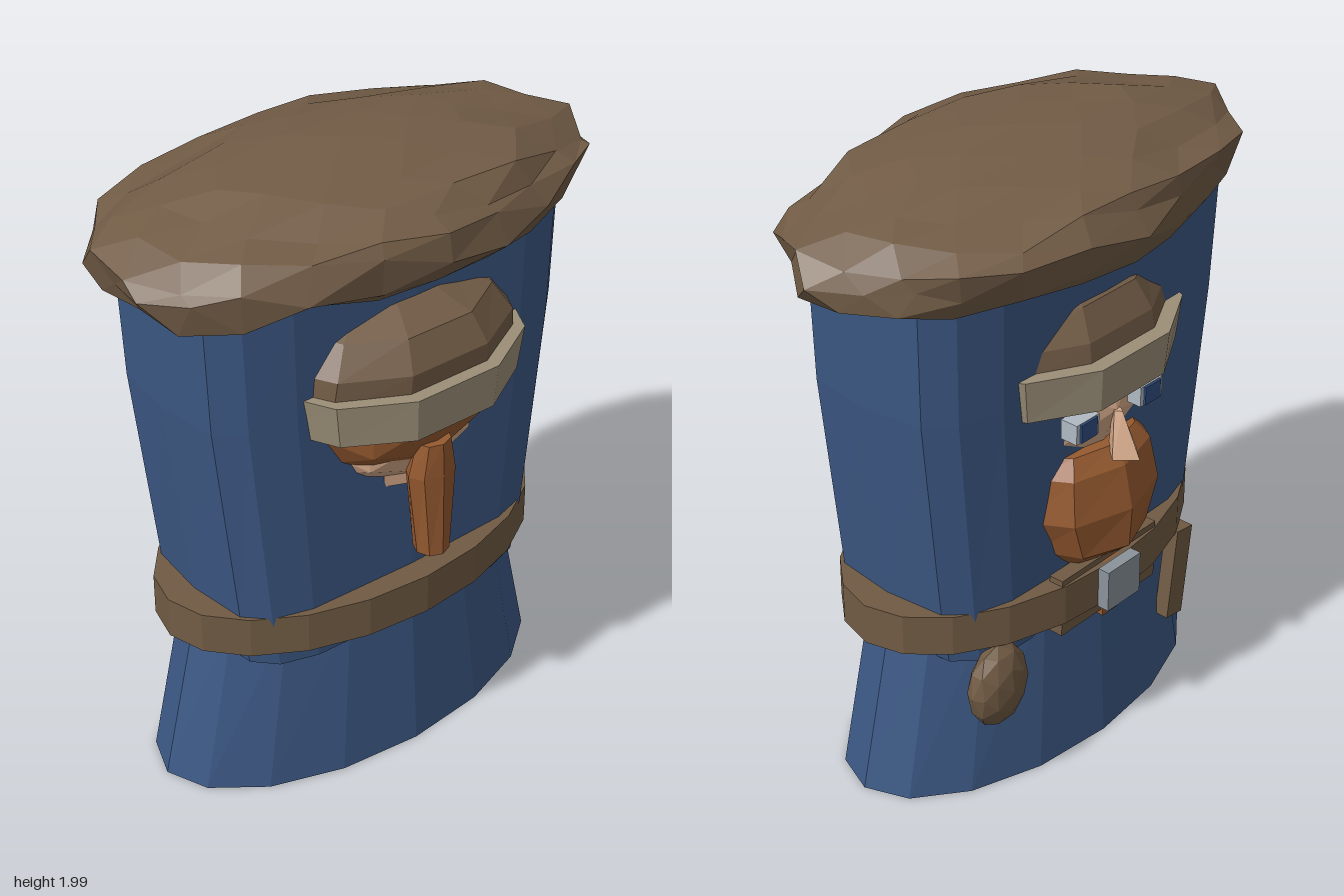
import * as THREE from 'three';

const mat = (name, color) => {
  const m = new THREE.MeshStandardMaterial({ color, flatShading: true });
  m.name = name;
  return m;
};

// Stacks rings of [y, rx, rz, zCentre], low to high; e < 1 squares the ellipse off,
// turn shifts the corners by a part of one side.
function loft(rows, n, e = 1, capped = true, turn = 0) {
  const bend = (v) => Math.sign(v) * Math.pow(Math.abs(v) < 1e-6 ? 0 : Math.abs(v), e);
  const point = ([y, rx, rz, zc], i) => {
    const a = ((i % n) + turn) / n * Math.PI * 2;
    return [rx * bend(Math.cos(a)), y, zc + rz * bend(Math.sin(a))];
  };
  const pos = [];
  const tri = (...ps) => ps.forEach((p) => pos.push(...p));
  for (let i = 0; i < n; i++) {
    for (let r = 0; r < rows.length - 1; r++) {
      const a = point(rows[r], i), b = point(rows[r], i + 1);
      const c = point(rows[r + 1], i), d = point(rows[r + 1], i + 1);
      tri(a, c, b);
      tri(b, c, d);
    }
    if (capped) {
      const lo = rows[0], hi = rows[rows.length - 1];
      tri([0, lo[0], lo[3]], point(lo, i), point(lo, i + 1));
      tri([0, hi[0], hi[3]], point(hi, i + 1), point(hi, i));
    }
  }
  const g = new THREE.BufferGeometry();
  g.setAttribute('position', new THREE.Float32BufferAttribute(pos, 3));
  g.computeVertexNormals();
  return g;
}

// Repeatable noise in -1..1 from a position, so shared corners stay joined.
function noise(x, y, z, seed) {
  const r = (v) => Math.round(v * 100);
  const s = Math.sin(r(x) * 12.9898 + r(y) * 78.233 + r(z) * 37.719 + seed * 4.17) * 43758.5453;
  return (s - Math.floor(s)) * 2 - 1;
}

// Shaggy flattened mantle, flatter and fuller underneath.
function furGeometry() {
  const g = new THREE.IcosahedronGeometry(1, 3);
  const p = g.attributes.position;
  for (let i = 0; i < p.count; i++) {
    const x = p.getX(i), y = p.getY(i), z = p.getZ(i);
    const out = 1 + 0.055 * noise(x, y, z, 1);
    const h = y > 0 ? 0.18 * y : -0.15 * Math.pow(-y, 0.45);
    p.setXYZ(i, 0.82 * x * out, 1.81 + h + 0.028 * noise(x, y, z, 2) * (1 - 0.75 * Math.abs(y)),
      -0.015 + 0.465 * z * out);
  }
  g.computeVertexNormals();
  return g;
}

export function createModel() {
  const root = new THREE.Group();
  root.name = 'figure';
  const cloth = mat('blueCloth', 0x3c5884);
  cloth.side = THREE.DoubleSide;
  const fur = mat('brownFur', 0x725c46);
  const leather = mat('brownLeather', 0x715b44);
  const trim = mat('paleFur', 0x9c8f78);
  const hair = mat('gingerHair', 0x965a30);
  const skin = mat('skin', 0xd6aa8a);
  const steel = mat('steel', 0x8b939b);
  const eyeWhite = mat('eyeWhite', 0xb0bac4);
  const iris = mat('irisBlue', 0x2f4f82);

  const add = (name, geo, material, x = 0, y = 0, z = 0) => {
    const m = new THREE.Mesh(geo, material);
    m.name = name;
    m.position.set(x, y, z);
    root.add(m);
    return m;
  };
  const box = (w, h, d) => new THREE.BoxGeometry(w, h, d);
  const blob = (name, material, x, y, z, rx, ry, rz) =>
    add(name, new THREE.IcosahedronGeometry(1, 1), material, x, y, z).scale.set(rx, ry, rz);

  // Clothing
  add('skirt', loft([[0, 0.715, 0.365, -0.015], [0.6, 0.575, 0.33, -0.015]], 16, 1, false), cloth);
  add('tunic', loft([
    [0.48, 0.55, 0.315, -0.01], [0.67, 0.585, 0.32, -0.01],
    [1.35, 0.665, 0.328, -0.015], [1.72, 0.68, 0.333, -0.02],
  ], 16, 0.48), cloth);
  add('furMantle', furGeometry(), fur);

  // Belt and what hangs from it
  add('belt', loft([[0.535, 0.68, 0.4, -0.01], [0.67, 0.68, 0.4, -0.01]], 20), leather);
  add('beltPlate', box(0.44, 0.2, 0.05), leather, 0, 0.59, -0.36);
  add('buckle', box(0.15, 0.14, 0.04), steel, 0, 0.603, -0.425);
  blob('pouch', leather, 0.425, 0.39, -0.31, 0.115, 0.145, 0.068);
  add('sheath', box(0.075, 0.32, 0.05), leather, -0.41, 0.38, -0.32).rotation.z = 0.12;
  add('beardTip', box(0.07, 0.2, 0.04), hair, 0, 0.57, -0.372);

  // Head
  blob('head', skin, 0, 1.2, 0.01, 0.38, 0.3, 0.41);
  add('neck', new THREE.CylinderGeometry(0.17, 0.15, 0.16, 8), skin, 0, 1.08, 0.2);
  blob('hair', hair, 0, 1.275, 0.09, 0.42, 0.3, 0.36);
  add('braid', loft([
    [0.79, 0.055, 0.055, 0.4], [1.07, 0.085, 0.06, 0.39], [1.18, 0.06, 0.05, 0.395],
  ], 8), hair);
  add('nose', loft([[1.06, 0.055, 0.06, -0.43], [1.2, 0.015, 0.02, -0.4]], 4), skin);
  for (const s of [-1, 1]) {
    add('eye', box(0.1, 0.065, 0.06), eyeWhite, s * 0.145, 1.2, -0.38);
    add('iris', box(0.07, 0.06, 0.008), iris, s * 0.145, 1.2, -0.413);
  }
  add('beard', loft([
    [0.67, 0.14, 0.1, -0.27], [0.745, 0.21, 0.19, -0.27], [0.88, 0.275, 0.197, -0.27],
    [1.02, 0.25, 0.165, -0.27], [1.075, 0.2, 0.12, -0.27],
  ], 8), hair);

  // Fur hat
  add('hatCrown', loft([
    [1.38, 0.455, 0.455, 0.02], [1.48, 0.44, 0.45, 0.03],
    [1.57, 0.37, 0.4, 0.03], [1.62, 0.24, 0.3, 0.03], [1.64, 0.03, 0.04, 0.03],
  ], 12, 0.85, true, 0.5), fur);
  add('hatBand', loft([[1.28, 0.45, 0.49, 0.02], [1.42, 0.475, 0.5, 0.02]], 12, 0.85, true, 0.5), trim);

  return root;
}
